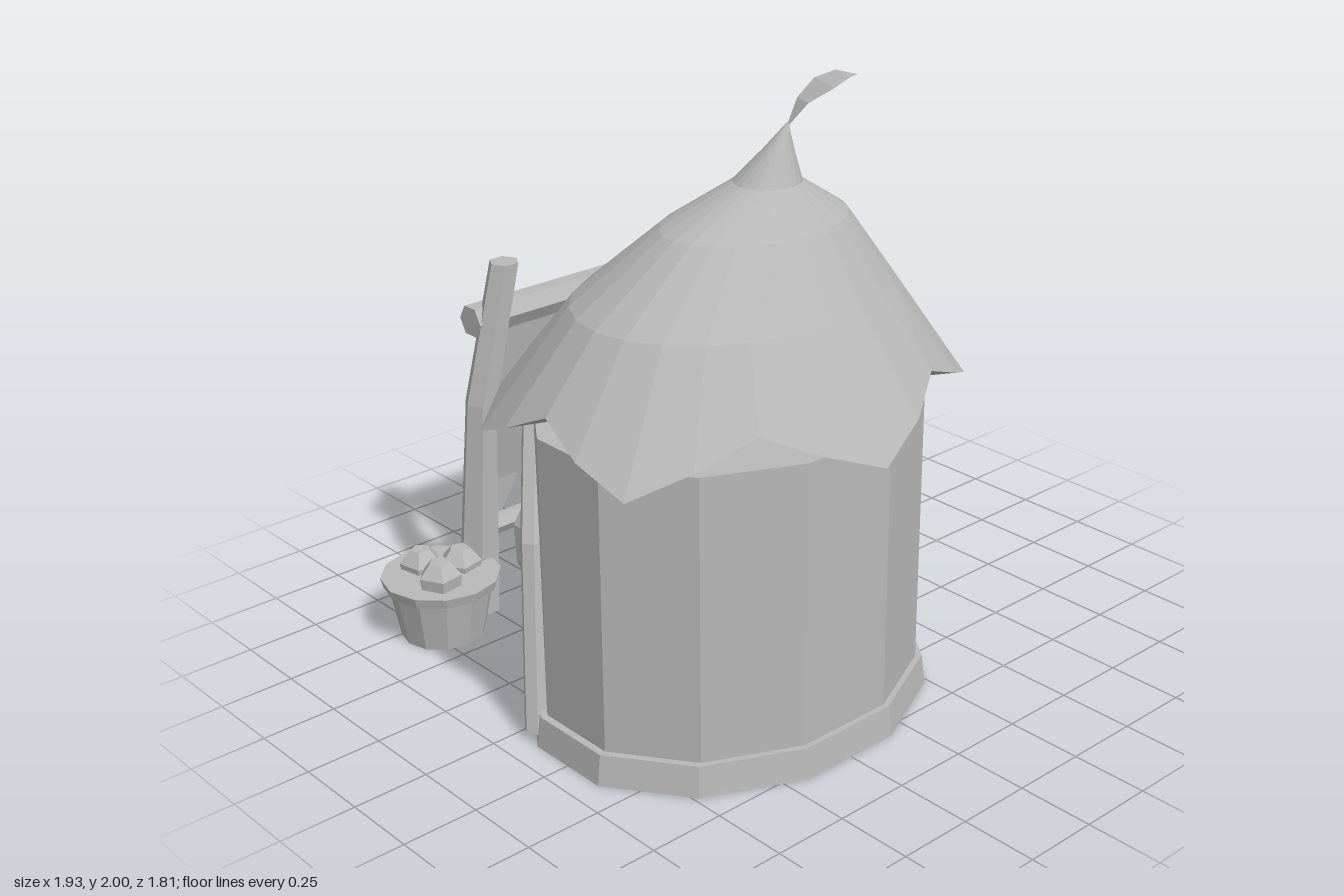
import * as THREE from 'three';

const grey = new THREE.MeshStandardMaterial({ color: 0xb8b8b8, side: THREE.DoubleSide });
grey.name = 'plain grey';

const V = (x, y, z) => new THREE.Vector3(x, y, z);

// Faceted mesh from any geometry
function part(name, geometry, parent) {
  const flat = geometry.index ? geometry.toNonIndexed() : geometry;
  flat.computeVertexNormals();
  const mesh = new THREE.Mesh(flat, grey);
  mesh.name = name;
  parent.add(mesh);
  return mesh;
}

// Skin over a bottom-to-top stack of rings, with a top cap and an optional bottom cap
function loft(rings, bottomCap = true) {
  const p = [];
  const tri = (...vs) => vs.forEach(v => p.push(v.x, v.y, v.z));
  const n = rings[0].length;
  const last = rings[rings.length - 1];
  const middle = ring => ring.reduce((s, v) => s.add(v), V(0, 0, 0)).divideScalar(n);
  const bottom = middle(rings[0]), top = middle(last);
  for (let j = 0; j < n; j++) {
    const k = (j + 1) % n;
    if (bottomCap) tri(bottom, rings[0][j], rings[0][k]);
    for (let i = 0; i < rings.length - 1; i++) {
      const a = rings[i], b = rings[i + 1];
      tri(a[j], b[j], a[k]);
      tri(a[k], b[j], b[k]);
    }
    tri(top, last[k], last[j]);
  }
  const g = new THREE.BufferGeometry();
  g.setAttribute('position', new THREE.Float32BufferAttribute(p, 3));
  return g;
}

// Horizontal elliptical ring
function ring(n, cx, y, cz, rx, rz = rx, turn = 0) {
  return Array.from({ length: n }, (_, i) => {
    const a = turn + i / n * Math.PI * 2;
    return V(cx + rx * Math.cos(a), y, cz + rz * Math.sin(a));
  });
}

// Post through stations [x, y, z, radius]
const post = (sides, stations, turn = 0) =>
  loft(stations.map(([x, y, z, r]) => ring(sides, x, y, z, r, r, turn)));

// Bar along x
function bar(x0, x1, y, z, r, sides = 6) {
  return new THREE.CylinderGeometry(r, r, x1 - x0, sides).rotateZ(Math.PI / 2).translate((x0 + x1) / 2, y, z);
}

const CX = -0.25, CZ = 0.25;

function hut() {
  const g = new THREE.Group();
  g.name = 'hut';
  const t = Math.PI / 12;
  // Walls stand on a plinth that is hollow underneath
  part('walls', loft([ring(12, CX, 0.1, CZ, 0.648, 0.53, t), ring(12, CX, 1.02, CZ, 0.648, 0.53, t)], false), g);
  part('plinth', loft([ring(12, CX, 0, CZ, 0.685, 0.56, t), ring(12, CX, 0.1, CZ, 0.672, 0.548, t)], false), g);

  // Thatch: wavy eave with a shallow underside, leaning to an off-centre peak
  const eave = ring(24, 0, 0, 0, 1).map((v, i) => {
    const wave = -Math.cos(i / 24 * Math.PI * 12), r = 0.747 + 0.05 * wave;
    return V(CX + v.x * r, 1.075 - 0.075 * wave, CZ + v.z * r * 0.822);
  });
  part('thatchRoof', loft([
    ring(24, CX, 1.02, CZ, 0.01),
    eave,
    ring(24, -0.25, 1.37, 0.27, 0.53, 0.41),
    ring(24, -0.205, 1.585, 0.31, 0.315, 0.225),
    ring(24, -0.18, 1.7, 0.335, 0.105, 0.1),
    ring(24, -0.157, 1.79, 0.355, 0.05, 0.045),
    ring(24, -0.135, 1.87, 0.37, 0.003),
  ]), g);

  // Curled leaf on the peak: [x, y, z, half width]
  const leaf = [[-0.135, 1.86, 0.37, 0.004], [-0.09, 1.93, 0.385, 0.035],
    [-0.03, 1.975, 0.41, 0.062], [0.025, 1.997, 0.43, 0.045], [0.068, 1.99, 0.445, 0.004]];
  const p = [];
  for (let i = 0; i < leaf.length - 1; i++) {
    const [a, b, c, d] = [[i, -1], [i, 1], [i + 1, -1], [i + 1, 1]].map(([k, s]) => {
      const [x, y, z, w] = leaf[k];
      return [x - s * w * 0.35, y, z + s * w];
    });
    p.push(...a, ...b, ...c, ...c, ...b, ...d);
  }
  const lg = new THREE.BufferGeometry();
  lg.setAttribute('position', new THREE.Float32BufferAttribute(p, 3));
  part('roofLeaf', lg, g);

  // Leaning props and hanging lanterns on both sides
  for (const s of [-1, 1]) {
    part('leaningProp', post(6, [
      [CX + s * 0.63, 0.03, 0.06, 0.038],
      [CX + s * 0.555, 0.62, -0.025, 0.038],
      [CX + s * 0.41, 1.06, -0.18, 0.036]]), g);
    part('lantern', post(7, [
      [CX + s * 0.505, 0.46, -0.105, 0.025], [CX + s * 0.505, 0.51, -0.105, 0.042],
      [CX + s * 0.505, 0.63, -0.105, 0.047], [CX + s * 0.505, 0.7, -0.105, 0.015]]), g);
  }
  return g;
}

// Arched outline for the door and its frame
function arch(ShapeType, half, bottom, spring) {
  const s = new ShapeType();
  s.moveTo(-half, bottom);
  s.lineTo(half, bottom);
  s.lineTo(half, spring);
  s.absarc(0, spring, half, 0, Math.PI, false);
  s.lineTo(-half, bottom);
  return s;
}

function door() {
  const g = new THREE.Group();
  g.name = 'door';
  const extrude = (shape, depth) => new THREE.ExtrudeGeometry(shape, { depth, bevelEnabled: false, curveSegments: 8 });
  const frame = arch(THREE.Shape, 0.2, 0.07, 0.52);
  frame.holes.push(arch(THREE.Path, 0.16, 0.08, 0.52));
  part('doorFrame', extrude(frame, 0.03).translate(CX, 0, -0.271), g);
  part('doorPanel', extrude(arch(THREE.Shape, 0.16, 0.08, 0.52), 0.02).translate(CX, 0, -0.266), g);
  part('doorKnob', new THREE.SphereGeometry(0.018, 6, 4).scale(0.7, 1.1, 0.6).translate(CX + 0.05, 0.3, -0.318), g);
  part('doorStep', loft([ring(12, CX, 0.01, -0.25, 0.24, 0.105), ring(12, CX, 0.07, -0.25, 0.24, 0.105)]), g);
  return g;
}

function wheel() {
  const g = new THREE.Group();
  g.name = 'wheel';
  const x = 0.645, y = 0.45, z = -0.205;
  const section = [[0.252, -0.055], [0.318, -0.055], [0.318, 0.055], [0.252, 0.055], [0.252, -0.055]];
  part('wheelRim', new THREE.LatheGeometry(section.map(q => new THREE.Vector2(...q)), 18)
    .rotateX(Math.PI / 2).rotateZ(Math.PI / 2).translate(x, y, z), g);
  for (let i = 0; i < 6; i++) {
    part('spoke', new THREE.BoxGeometry(0.25, 0.046, 0.04).translate(0.135, 0, 0)
      .rotateZ(i * Math.PI / 3).translate(x, y, z), g);
  }
  part('hub', new THREE.CylinderGeometry(0.05, 0.05, 0.17, 6).rotateX(Math.PI / 2).translate(x, y, -0.19), g);
  part('wheelPost', post(5, [[0.635, 0, -0.055, 0.088], [0.64, 0.46, -0.1, 0.055], [0.64, 0.48, -0.1, 0.03]], Math.PI / 2), g);
  return g;
}

function dryingRack() {
  const g = new THREE.Group();
  g.name = 'dryingRack';
  for (const s of [-1, 1]) {
    part('rackPost', post(6, [[0.02 + s * 0.54, 0, -0.725, 0.075], [0.02 + s * 0.525, 0.78, -0.677, 0.055],
      [0.02 + s * 0.43, 1.25, -0.648, 0.05]]), g);
  }
  part('topBeam', bar(-0.51, 0.55, 1.05, -0.71, 0.055), g);
  part('lowerBeam', bar(-0.5, 0.52, 0.3, -0.71, 0.035), g);
  part('clothStick', bar(-0.285, 0.285, 0, 0, 0.024, 4).rotateY(0.045).translate(-0.07, 0.605, -0.85), g);

  // Hanging cloth with pointed tassels along the hem
  const x0 = -0.37, x1 = 0.41, teeth = 5, p = [];
  const drop = [[1.03, -0.755], [0.68, -0.81], [0.36, -0.885]];
  for (let i = 0; i < 2; i++) {
    const [ya, za] = drop[i], [yb, zb] = drop[i + 1];
    p.push(x0, ya, za, x1, ya, za, x0, yb, zb, x0, yb, zb, x1, ya, za, x1, yb, zb);
  }
  const w = (x1 - x0) / teeth;
  for (let i = 0; i < teeth; i++) {
    const x = x0 + i * w;
    p.push(x, 0.36, -0.885, x + w, 0.36, -0.885, x + w / 2, 0.21, -0.9);
  }
  const cloth = new THREE.BufferGeometry();
  cloth.setAttribute('position', new THREE.Float32BufferAttribute(p, 3));
  part('cloth', cloth, g);
  return g;
}

function bucket() {
  const g = new THREE.Group();
  g.name = 'bucket';
  const x = -0.7, z = -0.68;
  part('bucketBody', post(12, [[x, 0, z, 0.14], [x, 0.18, z, 0.175]]), g);
  part('bucketRim', post(12, [[x, 0.18, z, 0.19], [x, 0.215, z, 0.2]]), g);
  for (const [fx, fz, top] of [[-0.72, -0.76, 0.28], [-0.75, -0.61, 0.3], [-0.62, -0.68, 0.28]]) {
    part('produce', post(5, [[fx, 0.19, fz, 0.065], [fx, top - 0.045, fz, 0.073], [fx, top, fz, 0.035]], fx * 9), g);
  }
  return g;
}

export function createModel() {
  const model = new THREE.Group();
  model.name = 'thatchedHut';
  model.add(hut(), door(), wheel(), dryingRack(), bucket());
  return model;
}
